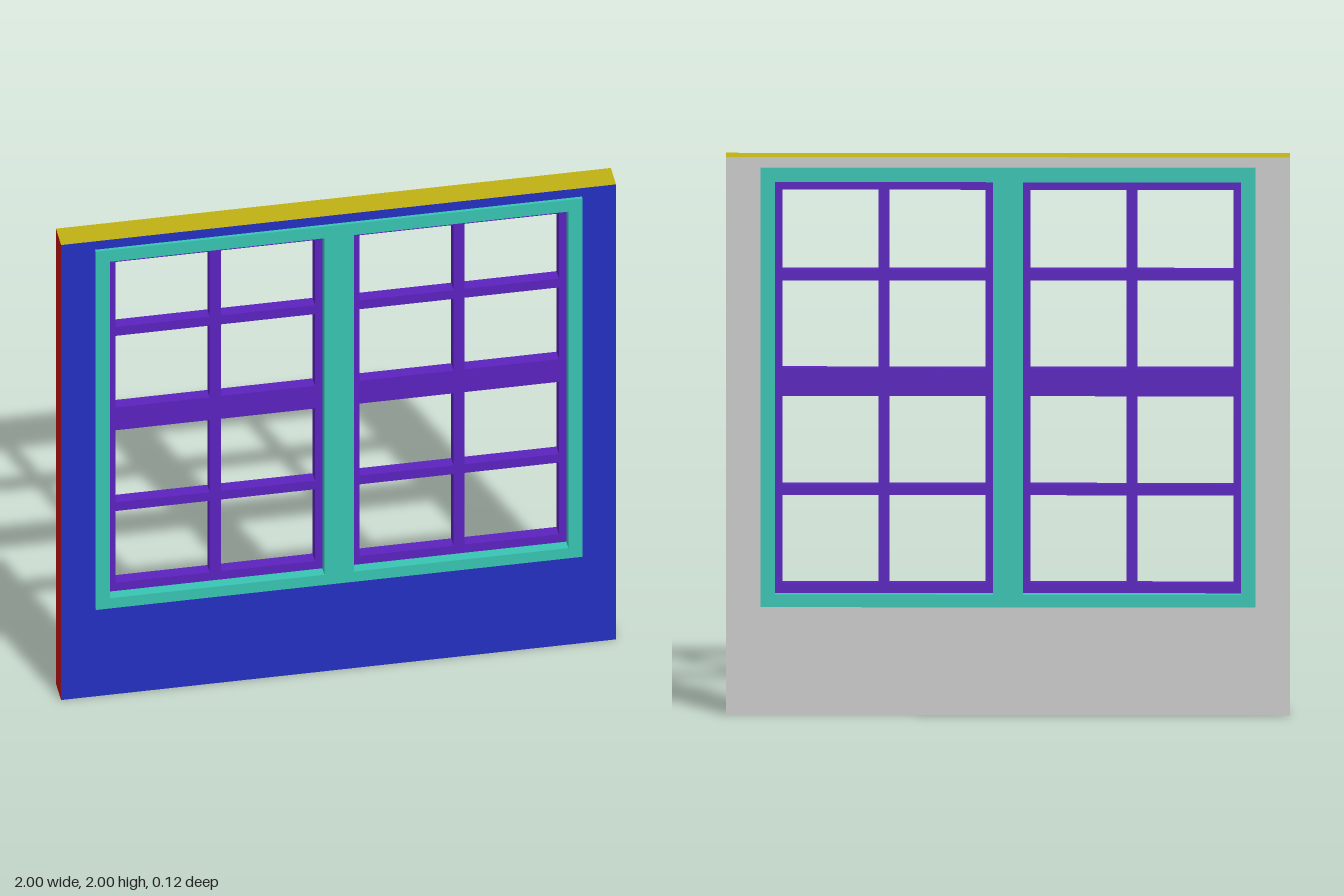
import * as THREE from 'three';

const mat = (color) => new THREE.MeshStandardMaterial({ color, flatShading: true });

// rectangle between two corners, as a Shape or a hole Path
function rect(x0, y0, x1, y1, Type = THREE.Path) {
  return new Type([[x0, y0], [x1, y0], [x1, y1], [x0, y1]].map(([x, y]) => new THREE.Vector2(x, y)));
}

// flat panel with holes, extruded symmetrically about z = 0
function slab(shape, depth) {
  return new THREE.ExtrudeGeometry(shape, { depth, bevelEnabled: false }).translate(0, 0, -depth / 2);
}

export function createModel() {
  const group = new THREE.Group();
  const add = (name, geometry, material, parent = group) => {
    const mesh = new THREE.Mesh(geometry, material);
    mesh.name = name;
    parent.add(mesh);
    return mesh;
  };

  const T = 0.05;                                             // half wall thickness
  const F = { x: 0.877, y0: 0.388, y1: 1.963 };               // frame outline
  const O = { x0: 0.053, x1: 0.826, y0: 0.433, y1: 1.912 };   // one frame opening

  // wall: a differently painted face on every side
  const wall = new THREE.Group();
  wall.name = 'wall';
  group.add(wall);
  const face = rect(-1, 0, 1, 2, THREE.Shape);
  face.holes.push(rect(-F.x, F.y0, F.x, F.y1));
  add('wallFront', new THREE.ShapeGeometry(face).translate(0, 0, T), mat(0x2530c1), wall);
  add('wallBack', new THREE.ShapeGeometry(face).rotateY(Math.PI).translate(0, 0, -T), mat(0xcccccc), wall);
  const olive = mat(0xc0b014);
  const side = () => new THREE.PlaneGeometry(2 * T, 2);
  const edge = () => new THREE.PlaneGeometry(2, 2 * T);
  add('wallLeftEnd', side().rotateY(Math.PI / 2).translate(1, 1, 0), mat(0x2cc12c), wall);
  add('wallRightEnd', side().rotateY(-Math.PI / 2).translate(-1, 1, 0), mat(0xc01212), wall);
  add('wallTop', edge().rotateX(-Math.PI / 2).translate(0, 2, 0), olive, wall);
  add('wallBottom', edge().rotateX(Math.PI / 2), olive, wall);

  // frame with two openings, standing slightly proud of the wall
  const frame = rect(-F.x, F.y0, F.x, F.y1, THREE.Shape);
  frame.holes.push(rect(-O.x1, O.y0, -O.x0, O.y1), rect(O.x0, O.y0, O.x1, O.y1));
  add('windowFrame', slab(frame, 0.124), mat(0x38c4b2));

  // sashes: two columns by four rows of open panes between rails and muntins
  const purple = mat(0x5b22bf);
  const mid = (O.x0 + O.x1) / 2;
  const columns = [[O.x0 + 0.027, mid - 0.02], [mid + 0.02, O.x1 - 0.027]];
  const rows = [[0.469, 0.784], [0.822, 1.139], [1.239, 1.554], [1.593, 1.879]];
  for (const s of [-1, 1]) {
    const [a, b] = [s * O.x0, s * O.x1].sort((p, q) => p - q);
    const sash = rect(a, O.y0, b, O.y1, THREE.Shape);
    for (const [x0, x1] of columns)
      for (const [y0, y1] of rows) sash.holes.push(rect(s * x0, y0, s * x1, y1));
    add(s > 0 ? 'leftSash' : 'rightSash', slab(sash, 0.045), purple);
  }
  return group;
}
